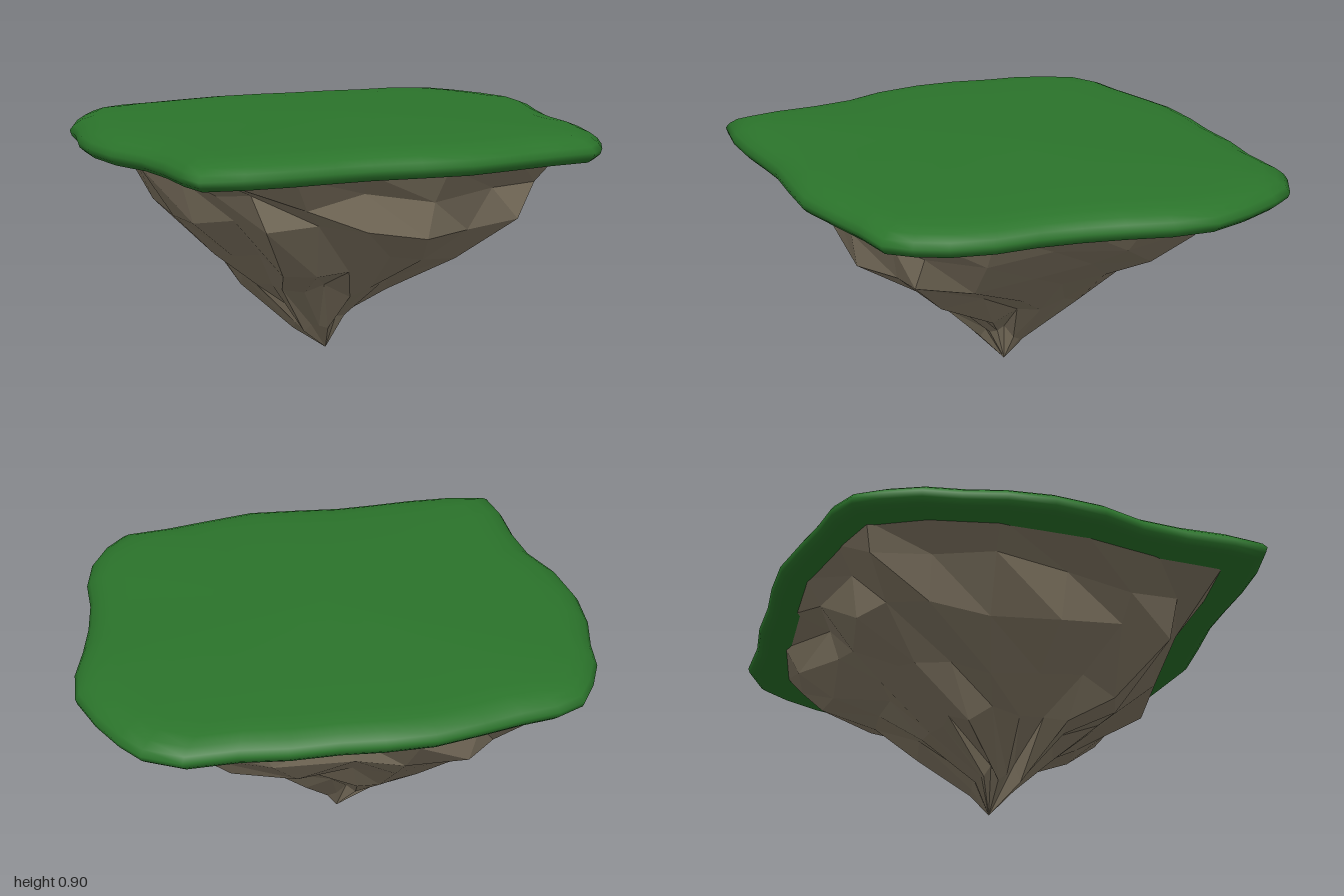
import * as THREE from 'three';

// Outline of the plateau as x, z pairs, clockwise seen from above
const OUTLINE = [
  -0.13, -1.0, 0.02, -0.95, 0.16, -0.87, 0.30, -0.80, 0.45, -0.74, 0.60, -0.70, 0.74, -0.63, 0.83, -0.55,
  0.89, -0.46, 0.87, -0.30, 0.865, -0.15, 0.855, 0.06, 0.80, 0.23, 0.74, 0.40, 0.71, 0.54, 0.68, 0.70,
  0.64, 0.85, 0.58, 0.99, 0.45, 0.98, 0.28, 0.94, 0.11, 0.92, -0.06, 0.94, -0.25, 0.92, -0.41, 0.87,
  -0.55, 0.80, -0.68, 0.75, -0.79, 0.67, -0.87, 0.59, -0.895, 0.48, -0.885, 0.35, -0.885, 0.20, -0.88, 0.02,
  -0.84, -0.15, -0.79, -0.30, -0.75, -0.47, -0.69, -0.63, -0.65, -0.81, -0.55, -0.92, -0.44, -0.96, -0.29, -0.99,
];
const outline = [];
for (let i = 0; i < OUTLINE.length; i += 2) outline.push([OUTLINE[i], OUTLINE[i + 1]]);

// Repeatable noise in 0..1 for a ring and a column
function noise(a, b) {
  const s = Math.sin(a * 127.1 + b * 311.7 + 4.2) * 43758.5453;
  return s - Math.floor(s);
}

// Skin closed rings of [x, y, z], listed from bottom to top
function loft(rings) {
  const n = rings[0].length;
  const index = [];
  for (let j = 0; j < rings.length - 1; j++) {
    for (let i = 0; i < n; i++) {
      const a = j * n + i, b = j * n + (i + 1) % n, c = b + n, d = a + n;
      index.push(a, d, c, a, c, b);
    }
  }
  const geometry = new THREE.BufferGeometry();
  geometry.setAttribute('position', new THREE.Float32BufferAttribute(rings.flat(2), 3));
  geometry.setIndex(index);
  geometry.computeVertexNormals();
  return geometry;
}

// Smooth turf slab: rings given as [outline scale, height]
function createGrass() {
  const profile = [
    [0.80, 0.775], [0.95, 0.772], [0.975, 0.775], [0.993, 0.79], [1, 0.81], [0.985, 0.83],
    [0.955, 0.85], [0.91, 0.866], [0.83, 0.876], [0.65, 0.885], [0.4, 0.892], [0.15, 0.896], [0.001, 0.897],
  ];
  const rings = profile.map(([s, y]) => outline.map(([x, z]) => [x * s, y, z * s]));
  const grass = new THREE.Mesh(loft(rings), new THREE.MeshStandardMaterial({ color: 0x2b742b }));
  grass.name = 'grassTop';
  return grass;
}

// Faceted rock tapering to a point: rings given as [height, xMin, xMax, zMin, zMax]
function createRock() {
  const levels = [
    [0.0, -0.03, -0.03, 0.04, 0.04],
    [0.12, -0.11, 0.06, -0.03, 0.19],
    [0.27, -0.32, 0.23, -0.19, 0.36],
    [0.40, -0.49, 0.46, -0.38, 0.48],
    [0.55, -0.68, 0.67, -0.58, 0.65],
    [0.68, -0.73, 0.71, -0.72, 0.76],
    [0.785, -0.79, 0.76, -0.84, 0.86],
  ];
  const top = levels.length - 1;
  const columns = outline.filter((p, i) => i % 2 === 1);
  const rings = levels.map(([y, x0, x1, z0, z1], j) => columns.map(([px, pz], i) => {
    const inner = j > 0 && j < top;
    // columns wander together so that ridges and gullies run down the rock
    const gully = 0.07 * noise(i, 50);
    const s = inner ? 1.06 - gully - 0.13 * noise(i, j) : 1;
    const dy = inner ? (noise(i, j + 20) - 0.5) * 0.07 : 0;
    return [
      (x0 + x1) / 2 + (x1 - x0) / 2 * s * px / 0.89,
      y + dy,
      (z0 + z1) / 2 + (z1 - z0) / 2 * s * pz,
    ];
  }));
  const rock = new THREE.Mesh(
    loft(rings),
    new THREE.MeshStandardMaterial({ color: 0x857a66, flatShading: true }),
  );
  rock.name = 'rockBase';
  return rock;
}

export function createModel() {
  const island = new THREE.Group();
  island.name = 'floatingIsland';
  island.add(createGrass(), createRock());
  return island;
}
